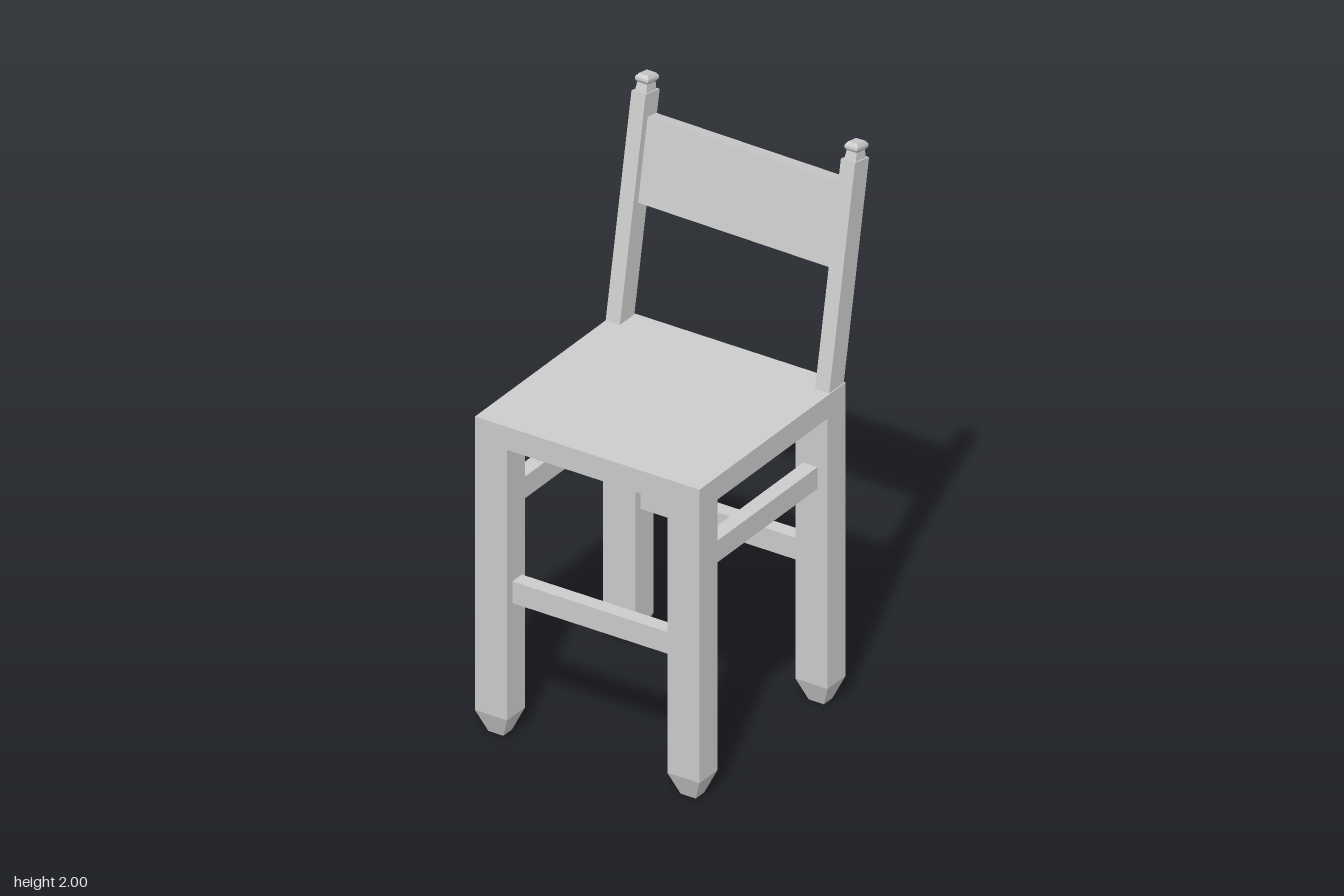
import * as THREE from 'three';

const material = new THREE.MeshStandardMaterial({ color: 0xcccccc, flatShading: true });

function addMesh(parent, name, geometry, x, y, z) {
  const mesh = new THREE.Mesh(geometry, material);
  mesh.name = name;
  mesh.position.set(x, y, z);
  parent.add(mesh);
  return mesh;
}

function addBox(parent, name, [w, h, d], [x, y, z]) {
  return addMesh(parent, name, new THREE.BoxGeometry(w, h, d), x, y, z);
}

// Four-sided turned shape: profile of [scale, height], with half sizes in x and z
function squareTurned(profile, halfX, halfZ) {
  const points = profile.map(([s, y]) => new THREE.Vector2(s * Math.SQRT2, y));
  const geometry = new THREE.LatheGeometry(points, 4, Math.PI / 4)
    .scale(halfX, 1, halfZ)
    .toNonIndexed();
  geometry.computeVertexNormals();
  return geometry;
}

export function createModel() {
  const chair = new THREE.Group();
  chair.name = 'chair';

  // Seat slab
  addBox(chair, 'seat', [0.87, 0.085, 0.85], [0, 1.1225, 0.07]);

  // Square legs with tapered feet
  const legProfile = [[0, 0], [0.47, 0], [1, 0.08], [1, 1.08], [0, 1.08]];
  const legGeometry = squareTurned(legProfile, 0.0625, 0.0525);
  for (const side of [1, -1]) {
    const label = side > 0 ? 'left' : 'right';
    addMesh(chair, label + 'FrontLeg', legGeometry, side * 0.3725, 0, 0.4425);
    addMesh(chair, label + 'BackLeg', legGeometry, side * 0.3725, 0, -0.3025);
    // Side stretcher, set higher than the front and back ones
    addBox(chair, label + 'Stretcher', [0.055, 0.08, 0.63], [side * 0.375, 0.855, 0.075]);
  }
  addBox(chair, 'frontStretcher', [0.62, 0.08, 0.055], [0, 0.54, 0.4375]);
  addBox(chair, 'backStretcher', [0.62, 0.08, 0.055], [0, 0.54, -0.3075]);

  // Backrest leaning backwards from the seat
  const backrest = new THREE.Group();
  backrest.name = 'backrest';
  backrest.position.set(0, 1.165, -0.3075);
  backrest.rotation.x = -0.19;
  chair.add(backrest);

  const finialProfile = [
    [0, 0.78], [0.88, 0.787], [0.76, 0.815], [1, 0.825], [1, 0.834], [0.72, 0.845], [0, 0.845],
  ];
  const finialGeometry = squareTurned(finialProfile, 0.025, 0.033);
  for (const [label, x] of [['left', 0.4035], ['right', -0.4075]]) {
    addBox(backrest, label + 'Post', [0.055, 0.817, 0.083], [x, 0.3785, 0]);
    addMesh(backrest, label + 'Finial', finialGeometry, x, 0, 0);
  }

  // Back panel, slightly askew between the posts
  const panel = addBox(backrest, 'backPanel', [0.765, 0.297, 0.053], [-0.002, 0.556, -0.004]);
  panel.rotation.y = -0.022;

  return chair;
}
